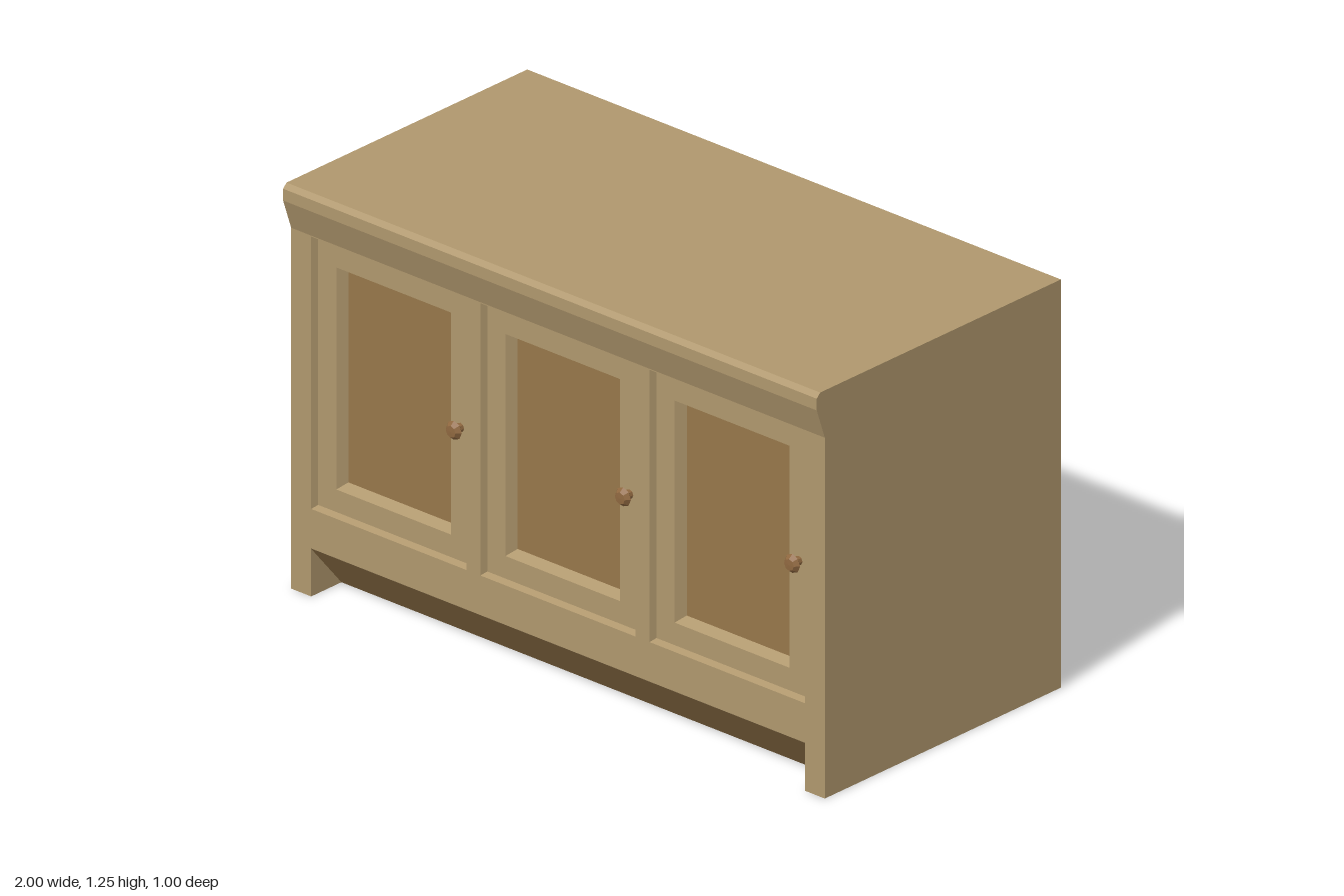
import * as THREE from 'three';

const wood = new THREE.MeshStandardMaterial({ color: 0xaf976d });
wood.name = 'light wood';
const panelWood = new THREE.MeshStandardMaterial({ color: 0x96764a });
panelWood.name = 'brown wood';
const knobWood = new THREE.MeshStandardMaterial({ color: 0x8f6840 });
knobWood.name = 'knob wood';

// Rectangle corners, counter-clockwise from the front
const corners = (x0, x1, y0, y1) => [[x0, y0], [x1, y0], [x1, y1], [x0, y1]];
const toShape = (pts) => new THREE.Shape(pts.map(([x, y]) => new THREE.Vector2(x, y)));

// Flat board with holes between two z depths
function board(outline, holes, z0, z1) {
  const shape = toShape(outline);
  shape.holes = holes.map((h) => new THREE.Path(h.map(([x, y]) => new THREE.Vector2(x, y))));
  return new THREE.ExtrudeGeometry(shape, { depth: z1 - z0, bevelEnabled: false }).translate(0, 0, z0);
}

// Side profile of [z, y] points swept across the width
function sweep(profile, width) {
  return new THREE.ExtrudeGeometry(toShape(profile), { depth: width, bevelEnabled: false })
    .rotateY(-Math.PI / 2).translate(width / 2, 0, 0);
}

function box(x0, x1, y0, y1, z0, z1) {
  return new THREE.BoxGeometry(x1 - x0, y1 - y0, z1 - z0)
    .translate((x0 + x1) / 2, (y0 + y1) / 2, (z0 + z1) / 2);
}

// Flat-shaded four-cornered faces
function quads(list) {
  const pos = list.flatMap(([a, b, c, d]) => [a, b, c, a, c, d].flat());
  const g = new THREE.BufferGeometry();
  g.setAttribute('position', new THREE.Float32BufferAttribute(pos, 3));
  g.computeVertexNormals();
  return g;
}

// Sloping rim from an outer rectangle to a deeper inner one
function rim(outer, z0, inner, z1) {
  return quads(outer.map((o, i) => {
    const j = (i + 1) % 4;
    return [[...o, z0], [...outer[j], z0], [...inner[j], z1], [...inner[i], z1]];
  }));
}

export function createModel() {
  const model = new THREE.Group();
  const add = (name, geometry, material, parent = model) => {
    const mesh = new THREE.Mesh(geometry, material);
    mesh.name = name;
    parent.add(mesh);
    return mesh;
  };

  const FRONT = 0.467, DOOR = 0.447, CORE = 0.4, PANEL = 0.417;
  const TOP = 1.105, TOE = 0.147, INNER = 0.925;
  const doorCentres = [-0.634, 0, 0.634];
  const doorOuter = corners(-0.291, 0.291, 0.268, 1.102);
  const doorInner = corners(-0.283, 0.283, 0.276, 1.094);
  const windowOuter = corners(-0.215, 0.215, 0.345, 1.025);
  const windowInner = corners(-0.197, 0.197, 0.362, 1.008);

  // Carcass
  add('core', box(-1, 1, TOE, TOP, -0.46, CORE), wood);
  for (const s of [-1, 1]) {
    const foot = box(INNER, 1, 0, TOE, -0.5, CORE);
    if (s < 0) foot.translate(-1 - INNER, 0, 0);
    add(s > 0 ? 'leftFoot' : 'rightFoot', foot, wood);
  }
  add('base', sweep([[-0.5, 0], [0.342, 0], [FRONT, TOE], [-0.5, TOE]], 2 * INNER), wood);
  add('toeKick', quads([[
    [-INNER, 0, 0.343], [INNER, 0, 0.343], [INNER, TOE, FRONT + 0.001], [-INNER, TOE, FRONT + 0.001],
  ]]), panelWood);

  // Top with its overhanging moulded edge
  add('top', sweep([
    [-0.5, TOP], [FRONT, TOP], [0.5, 1.2], [0.5, 1.236], [0.486, 1.25], [-0.5, 1.25],
  ], 2), wood);

  // Back board with a small opening
  add('backBoard', board(corners(-1, 1, TOE, TOP), [corners(-0.087, 0.087, 0.955, 1.055)], -0.5, -0.46), wood);

  // Front frame, running down into the feet
  const frameOutline = [
    [-1, 0], [-INNER, 0], [-INNER, TOE], [INNER, TOE], [INNER, 0], [1, 0], [1, TOP], [-1, TOP],
  ];
  const openings = doorCentres.map((c) => doorOuter.map(([x, y]) => [x + c, y]));
  add('frontFrame', board(frameOutline, openings, CORE, FRONT), wood);

  // Doors: edge rim, frame, sloping window rim, panel and knob
  const knobProfile = [[0.014, 0], [0.014, 0.012], [0.029, 0.026], [0.018, 0.04], [0, 0.041]]
    .map(([r, y]) => new THREE.Vector2(r, y));
  for (const c of doorCentres) {
    const door = new THREE.Group();
    door.name = 'door';
    door.position.x = c;
    model.add(door);
    add('doorEdge', rim(doorOuter, FRONT, doorInner, DOOR), wood, door);
    add('doorFrame', board(doorInner, [windowOuter], CORE, DOOR), wood, door);
    add('panelRim', rim(windowOuter, DOOR, windowInner, PANEL), wood, door);
    add('doorPanel', box(-0.197, 0.197, 0.362, 1.008, CORE, PANEL), panelWood, door);
    const knob = new THREE.LatheGeometry(knobProfile, 8).rotateX(Math.PI / 2).toNonIndexed();
    knob.computeVertexNormals();
    add('knob', knob, knobWood, door).position.set(0.25, 0.685, DOOR);
  }
  return model;
}
